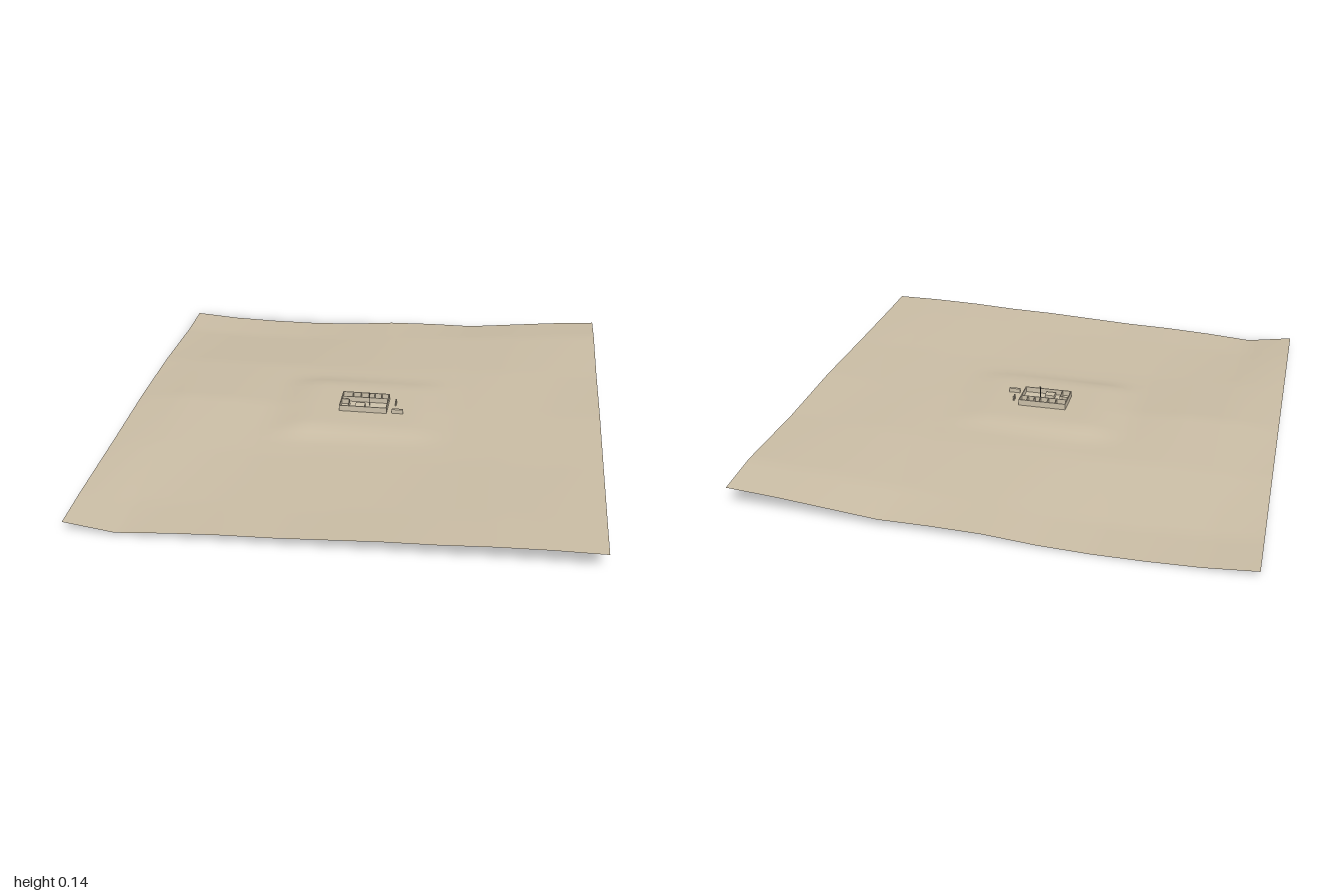
import * as THREE from 'three';

const sand = new THREE.MeshStandardMaterial({ name: 'sand', color: 0xc9bca4, side: THREE.DoubleSide });
const plaster = new THREE.MeshStandardMaterial({ name: 'plaster', color: 0xcdc1aa });
const darkMetal = new THREE.MeshStandardMaterial({ name: 'dark metal', color: 0x5a564e });

// Ground heights in thousandths, x = -1..1 in steps of 0.2, one row per z station
const stations = [-1, -0.8, -0.4, 0, 0.4, 0.8, 1];
const rows = [
  [20, 5, 0, 0, 8, 25, 30, 30, 50, 70, 85],
  [20, 8, 5, 8, 20, 35, 45, 55, 70, 85, 100],
  [45, 50, 50, 50, 52, 57, 62, 68, 80, 85, 90],
  [54, 72, 72, 60, 65, 68, 68, 70, 76, 85, 98],
  [50, 55, 50, 45, 48, 55, 60, 65, 75, 80, 90],
  [50, 25, 32, 40, 45, 50, 60, 70, 80, 84, 85],
  [45, 15, 30, 40, 45, 55, 65, 70, 80, 85, 85],
];
const PAD = 0.079;

function groundHeight(x, z) {
  const i = Math.min(9, Math.max(0, Math.floor((x + 1) * 5 + 1e-6)));
  const u = (x + 1) * 5 - i;
  let j = 0;
  while (j < stations.length - 2 && z > stations[j + 1] + 1e-6) j++;
  const v = (z - stations[j]) / (stations[j + 1] - stations[j]);
  const along = r => THREE.MathUtils.lerp(r[i], r[i + 1], u) / 1000;
  const h = THREE.MathUtils.lerp(along(rows[j]), along(rows[j + 1]), v);
  // level pad under the building, with banks around it
  const wx = 1 - THREE.MathUtils.smoothstep(Math.abs(x), 0.2, 0.4);
  const wz = 1 - THREE.MathUtils.smoothstep(Math.abs(z), 0.18, 0.3);
  return THREE.MathUtils.lerp(h, PAD, wx * wz);
}

function makeGround() {
  const geo = new THREE.PlaneGeometry(2, 2, 50, 50).rotateX(-Math.PI / 2);
  const p = geo.attributes.position;
  for (let k = 0; k < p.count; k++) p.setY(k, groundHeight(p.getX(k), p.getZ(k)));
  geo.computeVertexNormals();
  const ground = new THREE.Mesh(geo, sand);
  ground.name = 'ground';
  return ground;
}

// Box between two corners in plan, from y0 to y1
function block(parent, name, x0, x1, z0, z1, y0, y1, mat = plaster) {
  const m = new THREE.Mesh(new THREE.BoxGeometry(x1 - x0, y1 - y0, z1 - z0), mat);
  m.position.set((x0 + x1) / 2, (y0 + y1) / 2, (z0 + z1) / 2);
  m.name = name;
  parent.add(m);
}

export function createModel() {
  const model = new THREE.Group();
  model.name = 'terrainWithBuilding';
  model.add(makeGround());

  const building = new THREE.Group();
  building.name = 'building';
  model.add(building);
  const top = 0.105, floor = 0.082, t = 0.004;
  const X0 = -0.105, X1 = 0.1, Z0 = -0.068, Z1 = 0.064;
  block(building, 'floorSlab', X0, X1, Z0, Z1, 0.072, floor);

  // outer walls
  for (const z of [Z0, Z1 - t]) block(building, 'longWall', X0, X1, z, z + t, floor, top);
  for (const x of [X0, X1 - t]) block(building, 'endWall', x, x + t, Z0 + t, Z1 - t, floor, top);

  // small rooms along the back
  block(building, 'corridorWall', X0 + t, X1 - t, -0.025, -0.022, floor, top);
  for (const x of [-0.06, -0.025, 0.01, 0.035, 0.065])
    block(building, 'roomDivider', x, x + 0.003, Z0 + t, -0.025, floor, top);

  // corner room and raised block at the front
  block(building, 'cornerRoomSide', -0.068, -0.065, 0, Z1 - t, floor, top);
  block(building, 'cornerRoomBack', X0 + t, -0.068, 0, 0.003, floor, top);
  block(building, 'centreBlock', -0.038, 0.003, 0.014, 0.048, floor, 0.098);

  // thin mast with a knob
  const mast = new THREE.Mesh(new THREE.CylinderGeometry(0.0012, 0.0012, 0.056, 6), darkMetal);
  mast.position.set(0.02, 0.11, 0.005);
  mast.name = 'mast';
  const knob = new THREE.Mesh(new THREE.SphereGeometry(0.004, 8, 6), darkMetal);
  knob.position.set(0.02, 0.138, 0.005);
  knob.name = 'mastKnob';
  building.add(mast, knob);

  // low outworks beside the building
  block(model, 'lowWall', 0.122, 0.17, 0.047, 0.058, 0.072, 0.097);
  for (const z of [-0.034, -0.016]) block(model, 'post', 0.128, 0.134, z, z + 0.006, 0.072, 0.1);
  return model;
}
